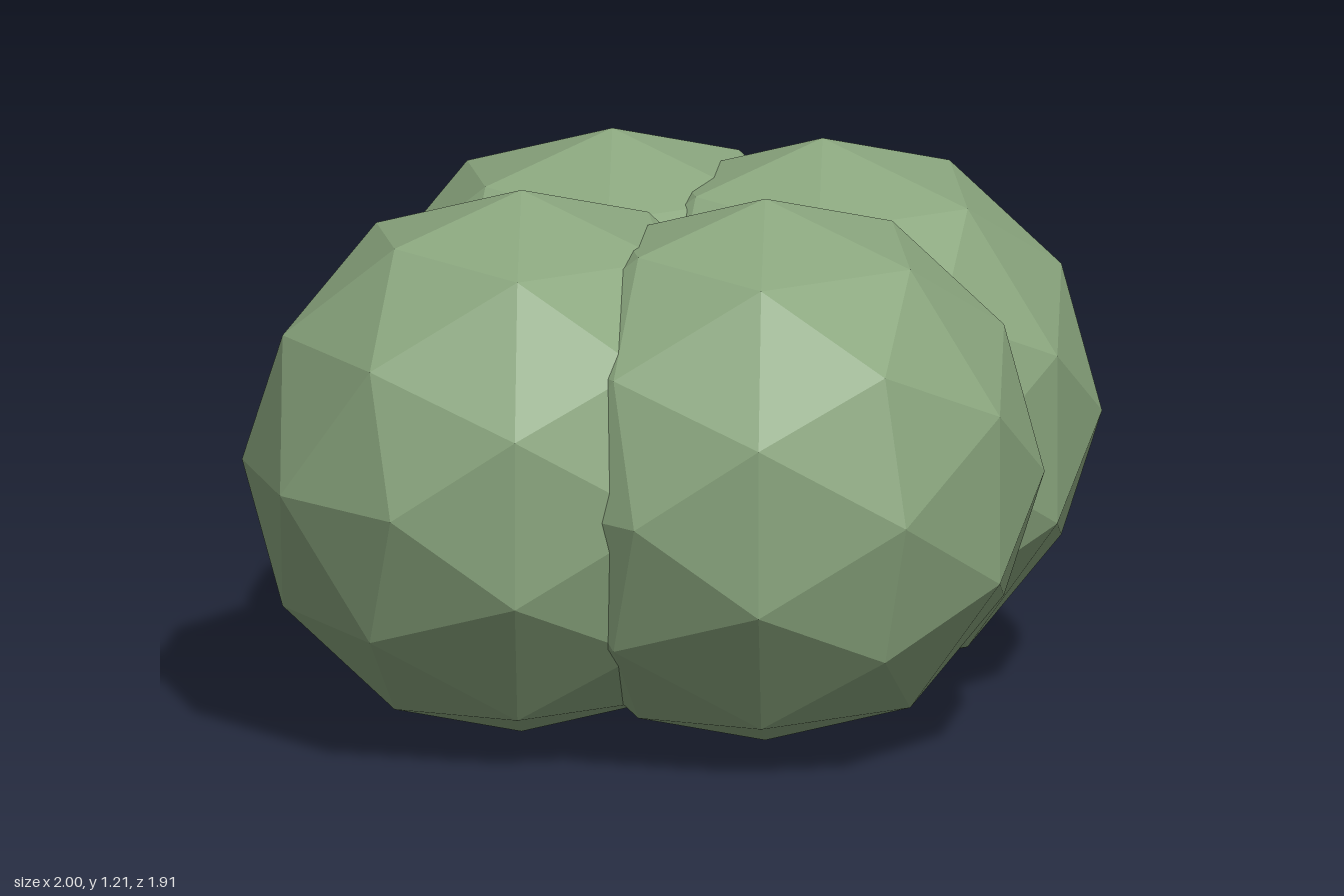
import * as THREE from 'three';

export function createModel() {
  const model = new THREE.Group();
  model.name = 'bush';

  const leafGreen = new THREE.MeshStandardMaterial({ color: 0x8aa67e });
  leafGreen.name = 'leafGreen';
  leafGreen.flatShading = true;

  // Four overlapping faceted clumps in a rough cross, all resting on the ground
  const radius = 0.605;
  const clump = new THREE.IcosahedronGeometry(radius, 1);
  const clumps = [
    ['rightClump', -0.395, 0.015],
    ['leftClump', 0.395, -0.045],
    ['frontClump', 0.022, 0.347],
    ['backClump', 0.046, -0.35],
  ];
  for (const [name, x, z] of clumps) {
    const mesh = new THREE.Mesh(clump, leafGreen);
    mesh.name = name;
    mesh.position.set(x, radius, z);
    model.add(mesh);
  }
  return model;
}
